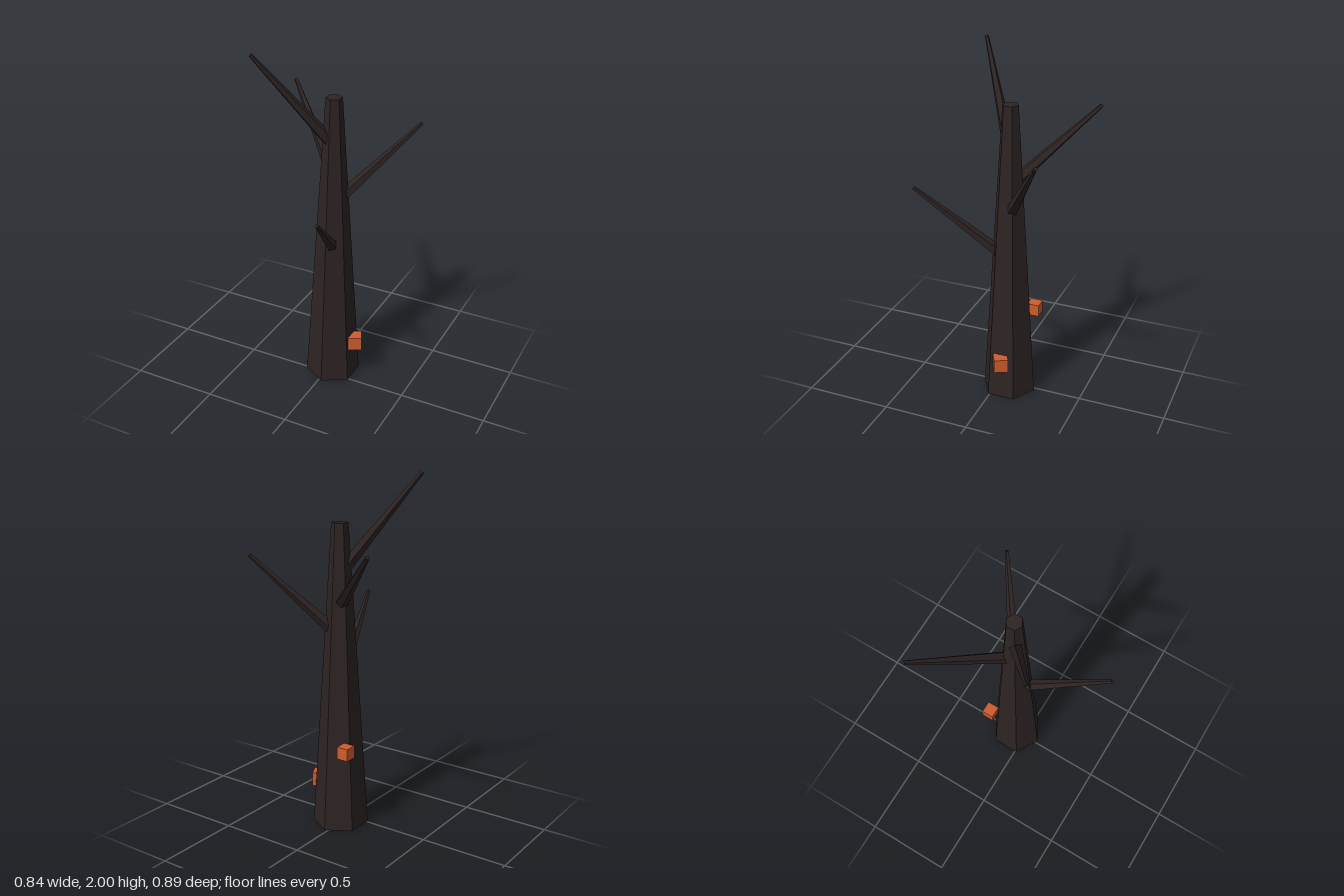
import * as THREE from 'three';

const bark = new THREE.MeshStandardMaterial({ color: 0x2d2323, flatShading: true });
bark.name = 'dark bark';
const fungus = new THREE.MeshStandardMaterial({ color: 0xcf5c2e, flatShading: true });
fungus.name = 'orange fungus';

const AXIS_X = 0.018, AXIS_Z = -0.068, HEIGHT = 1.735;

// Tapered limb running from the trunk axis at a given height to its tip
function makeBranch(baseY, tip) {
  const start = new THREE.Vector3(AXIS_X, baseY, AXIS_Z);
  const end = new THREE.Vector3(...tip);
  const dir = end.clone().sub(start);
  const mesh = new THREE.Mesh(new THREE.CylinderGeometry(0.011, 0.038, dir.length(), 5), bark);
  mesh.position.copy(start).add(end).multiplyScalar(0.5);
  mesh.quaternion.setFromUnitVectors(new THREE.Vector3(0, 1, 0), dir.normalize());
  return mesh;
}

export function createModel() {
  const tree = new THREE.Group();
  tree.name = 'deadTree';

  // Six-sided tapering trunk
  const trunk = new THREE.Mesh(new THREE.CylinderGeometry(0.046, 0.157, HEIGHT, 6), bark);
  trunk.name = 'trunk';
  trunk.position.set(AXIS_X, HEIGHT / 2, AXIS_Z);
  tree.add(trunk);

  // Bare branches: height on the trunk, then tip position
  const branches = [
    ['frontBranch', 0.83, [0.175, 1.248, 0.437]],
    ['leftBranch', 1.11, [0.408, 1.56, -0.353]],
    ['backBranch', 1.28, [-0.412, 1.65, -0.438]],
    ['topBranch', 1.46, [-0.318, 1.993, 0.207]],
  ];
  for (const [name, baseY, tip] of branches) {
    const branch = makeBranch(baseY, tip);
    branch.name = name;
    tree.add(branch);
  }

  // Blocky fungus growths on the bark: size, position, turn
  const growths = [
    ['lowerFungus', 0.08, [0.16, 0.236, -0.07], 0.47],
    ['upperFungus', 0.07, [-0.098, 0.488, -0.18], 0],
  ];
  for (const [name, size, position, turn] of growths) {
    const block = new THREE.Mesh(new THREE.BoxGeometry(size, size, size), fungus);
    block.name = name;
    block.position.set(...position);
    block.rotation.y = turn;
    tree.add(block);
  }
  return tree;
}
